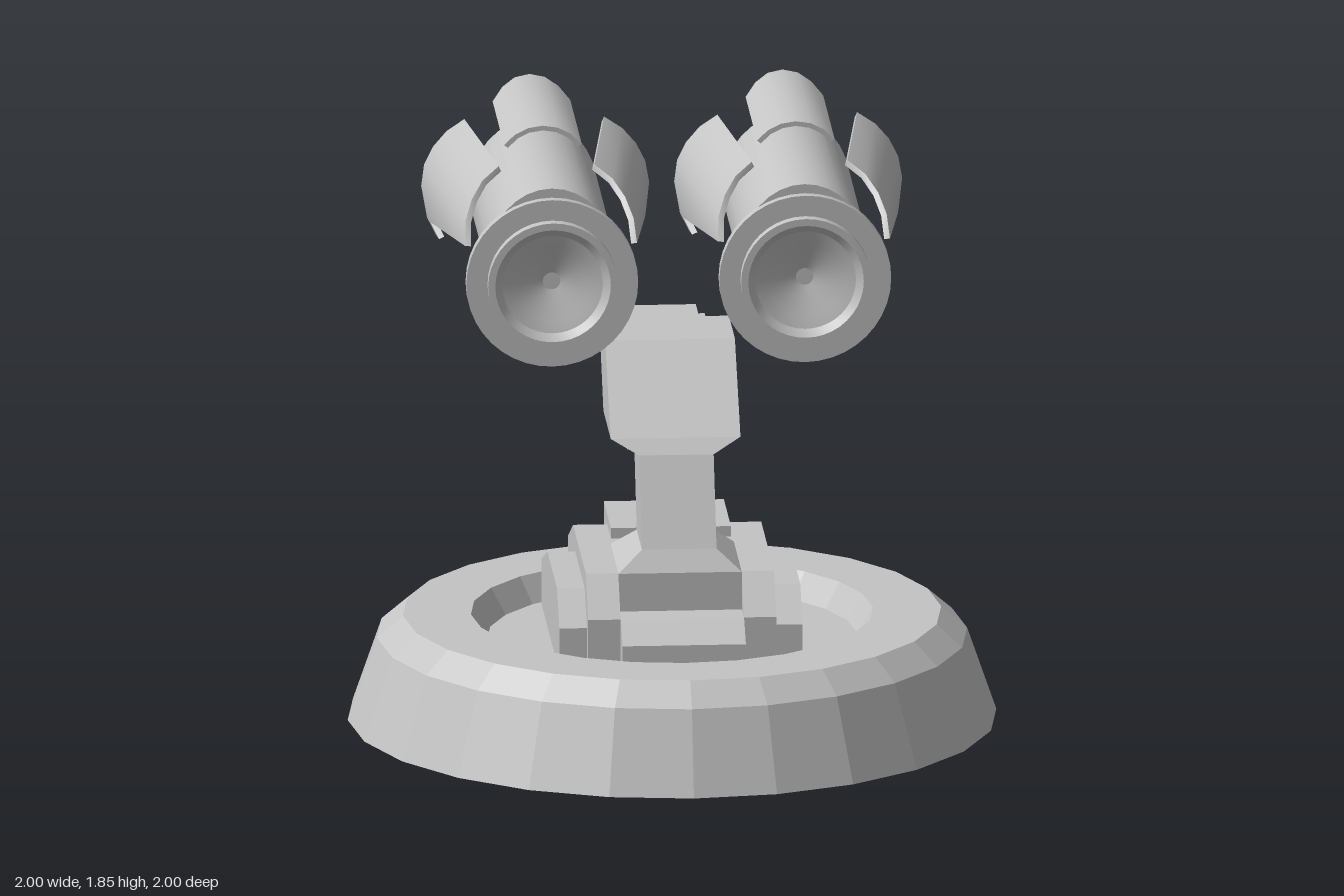
import * as THREE from 'three';
import { toCreasedNormals } from 'three/addons/utils/BufferGeometryUtils.js';

const grey = new THREE.MeshStandardMaterial({ color: 0xc4c4c4 });
grey.name = 'plain grey';

function part(name, geometry, crease = 0.05) {
  const mesh = new THREE.Mesh(toCreasedNormals(geometry, crease), grey);
  mesh.name = name;
  return mesh;
}

// Turned shape from [radius, height] points
function turned(points, segments) {
  return new THREE.LatheGeometry(points.map(([r, y]) => new THREE.Vector2(r, y)), segments);
}

// Side outline of [z, y] points, extruded from x0 to x1
function slab(points, x0, x1) {
  const shape = new THREE.Shape(points.map(([z, y]) => new THREE.Vector2(z, y)));
  const g = new THREE.ExtrudeGeometry(shape, { depth: x1 - x0, bevelEnabled: false });
  return g.rotateY(-Math.PI / 2).translate(x1, 0, 0);
}

// Solid skinned over four-cornered cross-sections
function loft(rings) {
  const pos = [];
  const quad = (a, b, c, d) => pos.push(...a, ...b, ...c, ...a, ...c, ...d);
  for (let i = 0; i < rings.length - 1; i++) {
    for (let j = 0; j < 4; j++) {
      const k = (j + 1) % 4;
      quad(rings[i][j], rings[i][k], rings[i + 1][k], rings[i + 1][j]);
    }
  }
  const [p, q, r, s] = rings[0];
  quad(s, r, q, p);
  quad(...rings[rings.length - 1]);
  const g = new THREE.BufferGeometry();
  g.setAttribute('position', new THREE.Float32BufferAttribute(pos, 3));
  g.computeVertexNormals();
  return g;
}

// Curved plate: stations are [angle, front z, back z]; splay moves it outwards to the rear
function curvedPlate(stations, radius, thick, cx, cy, splay) {
  return loft(stations.map(([deg, zf, zb]) => {
    const a = THREE.MathUtils.degToRad(deg);
    const at = (r, z) => [cx - splay * z + r * Math.cos(a), cy + r * Math.sin(a), z];
    const inner = radius - thick;
    return [at(radius, zf), at(radius, zb), at(inner, zb), at(inner, zf)];
  }));
}

function createBarrel() {
  const barrel = new THREE.Group();
  // Oval drum with a tapered rear
  const drum = turned([[0, -0.64], [0.19, -0.64], [0.23, -0.55], [0.23, 0.28], [0, 0.28]], 32);
  drum.rotateX(Math.PI / 2).scale(0.86, 1, 1).translate(0, 1.527, 0);
  barrel.add(part('barrelDrum', drum, 0.4));

  // Front rim with stepped, dished face
  const rim = turned([[0, 0.27], [0.265, 0.27], [0.265, 0.31], [0.2, 0.31], [0.2, 0.345],
    [0.178, 0.345], [0.155, 0.325], [0.12, 0.315], [0, 0.27]], 40);
  rim.rotateX(Math.PI / 2).translate(0, 1.463, 0);
  barrel.add(part('barrelRim', rim, 0.4));

  // Keel block underneath
  const keel = [[0.25, 1.4], [0.25, 1.28], [0.18, 1.21], [-0.18, 1.21], [-0.27, 1.34], [-0.27, 1.4]];
  barrel.add(part('barrelKeel', slab(keel, -0.12, 0.12)));

  // Top cover with rounded rear
  const cover = [[37, -0.12, -0.64], [55, -0.12, -0.69], [72, -0.12, -0.725], [90, -0.12, -0.735],
    [108, -0.12, -0.725], [125, -0.12, -0.69], [143, -0.12, -0.64]];
  barrel.add(part('topCover', curvedPlate(cover, 0.15, 0.015, 0, 1.7, 0), 0.5));

  // Splayed side fins
  const fin = [[-25, -0.29, -0.34], [-16, -0.36, -0.42], [5, 0.25, -0.47], [20, 0.185, -0.495],
    [35, 0.135, -0.5], [50, 0.085, -0.507], [66, 0.05, -0.515]];
  for (const side of [1, -1]) {
    const mesh = part('sideFin', curvedPlate(fin, 0.24, 0.018, 0.056, 1.55, 0.12), 0.5);
    mesh.scale.x = side;
    barrel.add(mesh);
  }
  return barrel;
}

export function createModel() {
  const model = new THREE.Group();

  // Round hollow base with a sunken floor
  model.add(part('base', turned([[0, 0.24], [0.57, 0.24], [0.62, 0.29], [0.79, 0.29], [0.88, 0.24],
    [0.97, 0], [1, 0], [0.91, 0.26], [0.83, 0.33], [0.62, 0.33], [0.57, 0.25], [0, 0.25]], 24)));

  // Turntable body: centre block, rear hatch and two layers each side
  model.add(part('bodyCentre', slab([[0.56, 0.245], [0.56, 0.37], [0.48, 0.43], [0.37, 0.43],
    [0.37, 0.55], [-0.22, 0.55], [-0.46, 0.45], [-0.46, 0.4], [-0.54, 0.32], [-0.54, 0.245]], -0.19, 0.19)));
  model.add(part('rearHatch', slab([[-0.05, 0.5], [-0.05, 0.583], [-0.37, 0.583], [-0.37, 0.45]]
    .reverse(), -0.185, 0.185)));
  const inner = [[0.465, 0.245], [0.465, 0.43], [0.36, 0.55], [-0.22, 0.55], [-0.46, 0.45], [-0.46, 0.245]];
  const outer = [[0.41, 0.245], [0.41, 0.39], [0.3, 0.49], [-0.13, 0.49], [-0.405, 0.395], [-0.405, 0.245]];
  for (const side of [1, -1]) {
    const span = (a, b) => (side > 0 ? [a, b] : [-b, -a]);
    model.add(part('innerSidePlate', slab(inner, ...span(0.19, 0.29))));
    model.add(part('outerSidePlate', slab(outer, ...span(0.29, 0.375))));
  }

  // Leaning arm and head: [y, back z, front z, half width]
  const arm = [[0.55, 0.01, 0.37, 0.19], [0.615, 0.09, 0.33, 0.115], [0.88, -0.03, 0.2, 0.115],
    [0.925, -0.17, 0.165, 0.2], [1.17, -0.36, -0.09, 0.2]];
  model.add(part('arm', loft(arm.map(([y, zb, zf, w]) =>
    [[w, y, zf], [w, y, zb], [-w, y, zb], [-w, y, zf]]))));

  // Box behind the head, with a wider inset layer
  model.add(part('headBox', slab([[0, 0.82], [-0.27, 0.81], [-0.41, 0.875], [-0.54, 1.16],
    [-0.3, 1.16], [-0.05, 0.9]], -0.11, 0.11)));
  model.add(part('headBoxSides', slab([[-0.04, 0.835], [-0.26, 0.835], [-0.39, 0.893], [-0.505, 1.14],
    [-0.3, 1.14], [-0.06, 0.9]], -0.135, 0.135)));

  // Twin barrels
  for (const side of [1, -1]) {
    const barrel = createBarrel();
    barrel.name = side > 0 ? 'leftBarrel' : 'rightBarrel';
    barrel.position.x = side * 0.39;
    model.add(barrel);
  }
  return model;
}
